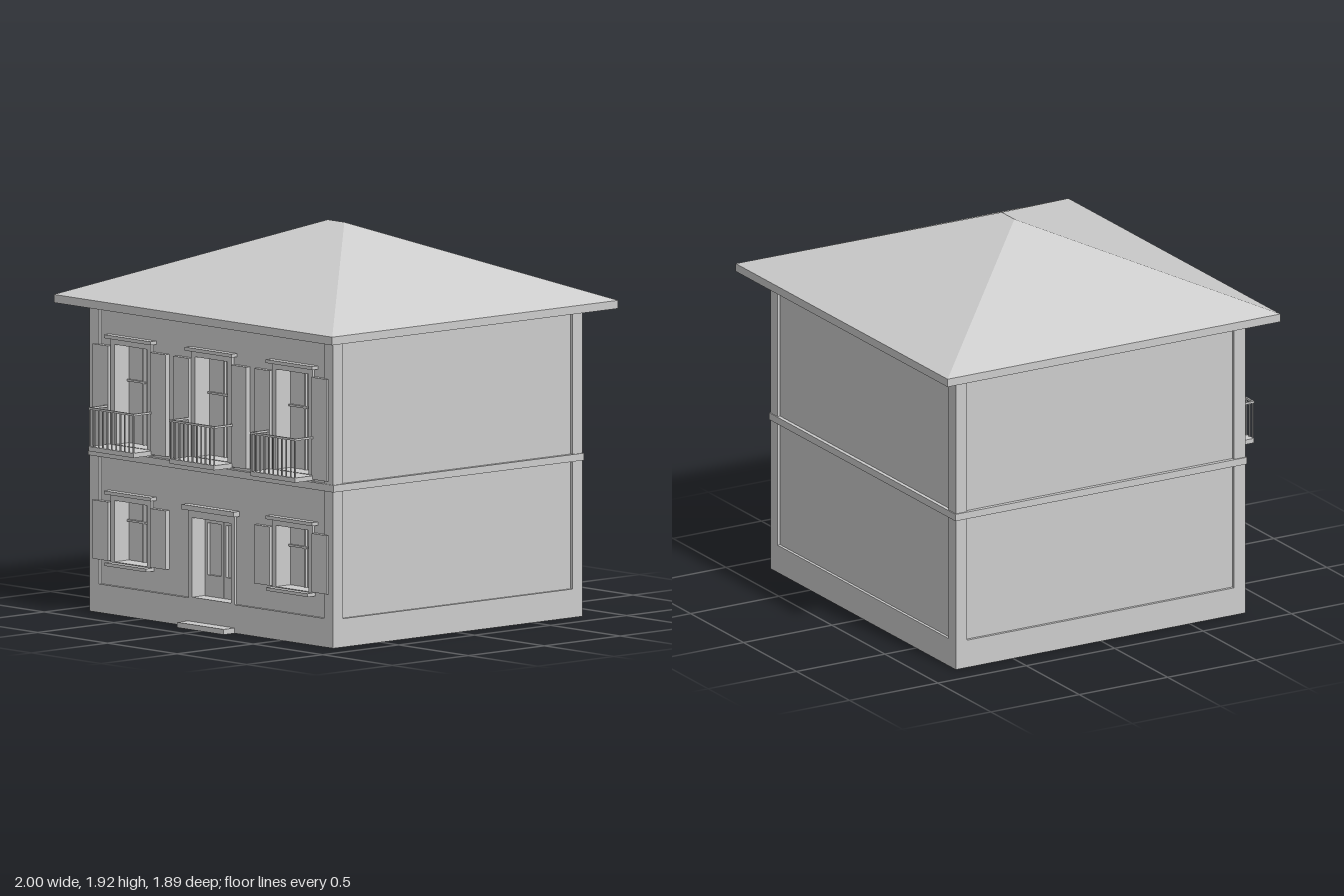
import * as THREE from 'three';

const plaster = new THREE.MeshStandardMaterial({ color: 0xcccccc });
plaster.name = 'pale grey';

const FACE = 0.82;   // front plane of pilasters and surrounds
const WALL = 0.805;  // recessed wall plane
const GLASS = 0.725; // plane of the window panes

function add(parent, name, geometry) {
  const mesh = new THREE.Mesh(geometry, plaster);
  mesh.name = name;
  parent.add(mesh);
  return mesh;
}

// box given by its limits on each axis
function box(parent, name, x0, x1, y0, y1, z0, z1) {
  const mesh = add(parent, name, new THREE.BoxGeometry(x1 - x0, y1 - y0, z1 - z0));
  mesh.position.set((x0 + x1) / 2, (y0 + y1) / 2, (z0 + z1) / 2);
  return mesh;
}

function rect(path, x0, x1, y0, y1) {
  path.moveTo(x0, y0);
  path.lineTo(x1, y0);
  path.lineTo(x1, y1);
  path.lineTo(x0, y1);
  path.closePath();
  return path;
}

// upright plate with rectangular holes, each [x0, x1, y0, y1]
function plate(parent, name, outer, holes, z0, z1) {
  const shape = rect(new THREE.Shape(), ...outer);
  holes.forEach(h => shape.holes.push(rect(new THREE.Path(), ...h)));
  const geometry = new THREE.ExtrudeGeometry(shape, { depth: z1 - z0, bevelEnabled: false });
  add(parent, name, geometry).position.z = z0;
}

// hipped roof with a short ridge along x
function hipRoof(w, d, ridge, y0, y1) {
  const a = [-w, y0, d], b = [w, y0, d], c = [w, y0, -d], e = [-w, y0, -d];
  const l = [-ridge, y1, 0], r = [ridge, y1, 0];
  const faces = [a, b, r, a, r, l, b, c, r, c, e, l, c, l, r, e, a, l];
  const geometry = new THREE.BufferGeometry();
  geometry.setAttribute('position', new THREE.Float32BufferAttribute(faces.flat(), 3));
  geometry.computeVertexNormals();
  return geometry;
}

// window with surround, glazing bars, lintel and shutters
function windowUnit(parent, x, y0, y1, barY, shutterY0, shutterY1) {
  const g = new THREE.Group();
  g.name = 'window';
  g.position.x = x;
  parent.add(g);
  plate(g, 'windowSurround', [-0.145, 0.145, y0 - 0.015, y1 + 0.028],
    [[-0.117, 0.117, y0, y1]], WALL, FACE);
  box(g, 'verticalBar', -0.005, 0.005, y0, y1, GLASS, GLASS + 0.012);
  box(g, 'horizontalBar', -0.117, 0.117, barY - 0.005, barY + 0.005, GLASS, GLASS + 0.012);
  box(g, 'lintel', -0.168, 0.168, y1 + 0.028, y1 + 0.045, WALL, 0.842);
  for (const s of [-1, 1]) {
    box(g, 'shutter', s * 0.207 - 0.055, s * 0.207 + 0.055, shutterY0, shutterY1, WALL, 0.831);
  }
  return g;
}

function balcony(parent, x) {
  const g = new THREE.Group();
  g.name = 'balcony';
  g.position.x = x;
  parent.add(g);
  const out = 0.949;
  box(g, 'balconySlab', -0.16, 0.16, 0.81, 0.833, WALL, out);
  box(g, 'frontRail', -0.163, 0.163, 1.015, 1.025, out - 0.01, out);
  for (const s of [-1, 1]) {
    box(g, 'sideRail', s * 0.158 - 0.005, s * 0.158 + 0.005, 1.015, 1.025, WALL, out - 0.01);
  }
  const count = 11;
  for (let i = 0; i < count; i++) {
    const bx = -0.156 + 0.312 * i / (count - 1);
    box(g, 'baluster', bx - 0.003, bx + 0.003, 0.833, 1.015, out - 0.008, out - 0.002);
  }
}

export function createModel() {
  const house = new THREE.Group();
  house.name = 'house';
  house.position.z = -0.004;

  // body and plinth
  box(house, 'plinth', -0.875, 0.875, 0, 0.14, -FACE, FACE);
  box(house, 'wallCore', -0.86, 0.86, 0.14, 1.51, -WALL, GLASS);

  // front wall pierced by the openings
  const openings = [[-0.14, 0.14, 0.145, 0.535]];
  for (const x of [-0.58, 0, 0.58]) {
    openings.push([x - 0.117, x + 0.117, 0.835, 1.325]);
    if (x !== 0) openings.push([x - 0.117, x + 0.117, 0.26, 0.56]);
  }
  plate(house, 'frontWall', [-0.86, 0.86, 0.14, 1.51], openings, GLASS, WALL);

  // corner pilasters
  for (const sx of [-1, 1]) {
    for (const sz of [-1, 1]) {
      const x = sx * 0.8415, z = sz * 0.7875;
      box(house, 'cornerPilaster', x - 0.0335, x + 0.0335, 0.14, 1.495, z - 0.0325, z + 0.0325);
    }
  }

  // storey band, cornice and eaves
  box(house, 'storeyBand', -0.881, 0.881, 0.765, 0.8, -0.825, 0.825);
  box(house, 'cornice', -0.886, 0.886, 1.493, 1.512, -0.831, 0.831);
  box(house, 'eaves', -1, 1, 1.51, 1.55, -0.941, 0.941);
  add(house, 'roof', hipRoof(1, 0.941, 0.06, 1.55, 1.925));

  // upper windows with balconies, lower windows with sills
  for (const x of [-0.58, 0, 0.58]) {
    windowUnit(house, x, 0.835, 1.325, 1.142, 0.815, 1.315);
    balcony(house, x);
    if (x === 0) continue;
    const lower = windowUnit(house, x, 0.26, 0.56, 0.455, 0.262, 0.55);
    box(lower, 'sill', -0.15, 0.15, 0.24, 0.256, GLASS, 0.855);
  }

  // double door with surround, lintel and step
  plate(house, 'doorSurround', [-0.165, 0.165, 0.14, 0.575],
    [[-0.14, 0.14, 0.145, 0.535]], WALL, FACE);
  box(house, 'doorLintel', -0.187, 0.187, 0.573, 0.598, WALL, 0.845);
  for (const s of [-1, 1]) {
    const x = s * 0.067;
    plate(house, 'doorLeaf', [x - 0.065, x + 0.065, 0.14, 0.527],
      [[x - 0.048, x + 0.048, 0.25, 0.505]], GLASS, GLASS + 0.015);
  }
  box(house, 'doorStep', -0.167, 0.167, 0, 0.026, FACE, 0.892);

  return house;
}
